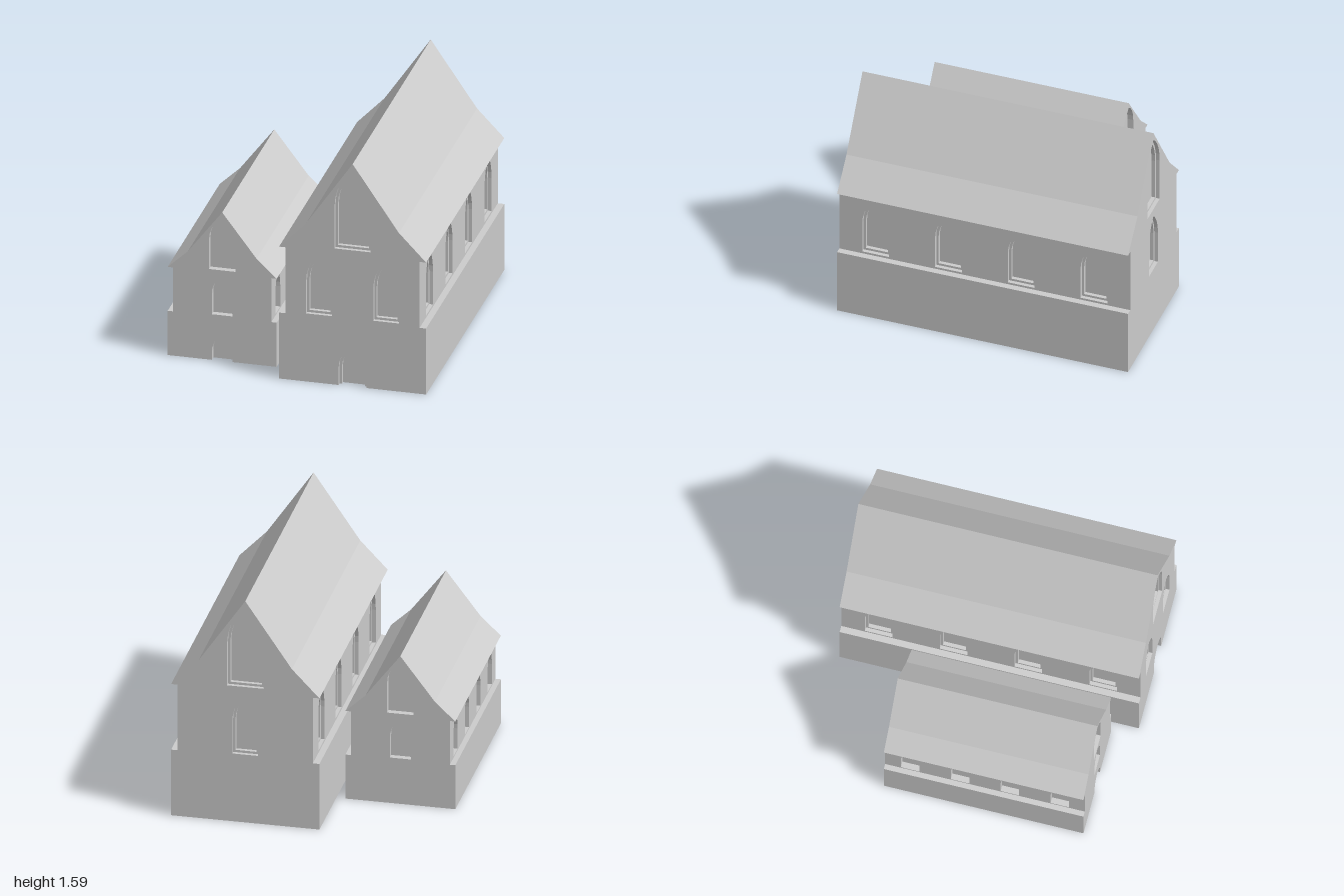
import * as THREE from 'three';

const material = new THREE.MeshStandardMaterial({ color: 0xcccccc, flatShading: true });
const vec = (p) => new THREE.Vector2(p[0], p[1]);

function add(group, name, geometry) {
  const mesh = new THREE.Mesh(geometry, material);
  mesh.name = name;
  group.add(mesh);
  return mesh;
}

// Strip of quads joining two polylines of equal length, each at its own z
function loft(a, za, b, zb) {
  const pos = [];
  for (let i = 0; i + 1 < a.length; i++) {
    const p = [...a[i], za], q = [...a[i + 1], za], r = [...b[i + 1], zb], s = [...b[i], zb];
    pos.push(...p, ...q, ...r, ...p, ...r, ...s);
  }
  const g = new THREE.BufferGeometry();
  g.setAttribute('position', new THREE.Float32BufferAttribute(pos, 3));
  g.computeVertexNormals();
  return g;
}

function flat(outline, holes = []) {
  const shape = new THREE.Shape(outline.map(vec));
  for (const h of holes) shape.holes.push(new THREE.Path(h.map(vec)));
  return new THREE.ShapeGeometry(shape);
}

// Pointed arch outline, counter-clockwise from the bottom right to the bottom left
function arch({ u = 0, w, y, spring, apex }) {
  const h = apex - spring, c = (h * h - w * w) / (2 * w), end = Math.atan2(h, c), n = 5;
  const right = [[w, y]];
  for (let i = 0; i < n; i++) {
    const t = (end * i) / n;
    right.push([(w + c) * Math.cos(t) - c, spring + (w + c) * Math.sin(t)]);
  }
  const left = right.map(([x, v]) => [-x, v]).reverse();
  return [...right, [0, apex], ...left].map(([x, v]) => [x + u, v]);
}

// Recessed opening: reveal, optional inner step, and back pane
function addOpening(group, name, o, step, depth) {
  const isDoor = o.y === 0;
  const close = (pts) => (isDoor ? pts : [...pts, pts[0]]);
  const outer = arch(o);
  let inner = outer;
  if (step) {
    inner = arch({ ...o, w: o.w - step, y: isDoor ? 0 : o.y + step, apex: o.apex - step * 1.6 });
    const mid = -depth / 2;
    add(group, name + 'OuterReveal', loft(close(outer), 0, close(outer), mid));
    add(group, name + 'Step', loft(close(outer), mid, close(inner), mid));
    add(group, name + 'InnerReveal', loft(close(inner), mid, close(inner), -depth));
  } else {
    add(group, name + 'Reveal', loft(close(outer), 0, close(outer), -depth));
  }
  add(group, name + 'Pane', flat(inner)).position.z = -depth;
}

function makeHouse(name, s) {
  const house = new THREE.Group();
  house.name = name;
  const { hw, wall, ledge, eave, kink, apex, half: L, step, depth } = s;
  const mirror = (pts) => pts.map(([x, y]) => [-x, y]).reverse();

  // Plinth with its ledge, and the roof with its eave undersides
  const plinth = [[hw, 0], [hw, ledge], [wall, ledge]];
  const slope = [[wall, eave], [hw, eave], kink, [0, apex]];
  const roof = [...slope, ...mirror(slope).slice(1)];
  add(house, 'plinthLeft', loft(plinth, -L, plinth, L));
  add(house, 'plinthRight', loft(mirror(plinth), -L, mirror(plinth), L));
  add(house, 'roof', loft(roof, -L, roof, L));

  // Gable walls; the front one has a doorway cut in its lower edge
  const sides = [...plinth, ...roof, ...mirror(plinth)];
  const doorway = arch(s.door).reverse();
  const gables = [
    ['front', s.frontWindows, [...doorway, ...sides], 0],
    ['back', s.backWindows, sides, Math.PI],
  ];
  for (const [label, windows, outline, turn] of gables) {
    const gable = new THREE.Group();
    gable.name = label + 'Gable';
    gable.rotation.y = turn;
    gable.position.z = L * Math.cos(turn);
    add(gable, label + 'Wall', flat(outline, windows.map(arch)));
    windows.forEach((o, i) => addOpening(gable, label + 'Window' + (i + 1), o, step, depth));
    if (label === 'front') addOpening(gable, 'door', s.door, step, depth);
    house.add(gable);
  }

  // Upper side walls, each with four evenly spaced windows
  for (const side of [1, -1]) {
    const g = new THREE.Group();
    g.name = side > 0 ? 'leftWall' : 'rightWall';
    g.rotation.y = (side * Math.PI) / 2;
    g.position.x = side * wall;
    const windows = [-0.75, -0.25, 0.25, 0.75].map((f) => ({ ...s.sideWindow, u: f * L }));
    const outline = [[-L, ledge], [L, ledge], [L, eave], [-L, eave]];
    add(g, 'upperWall', flat(outline, windows.map(arch)));
    windows.forEach((o, i) => addOpening(g, 'sideWindow' + (i + 1), o, step, depth));
    house.add(g);
  }

  // Underside, notched at the door
  const dw = s.door.w, iw = dw - step, mid = L - depth / 2;
  const floor = [
    [-hw, -L], [hw, -L], [hw, L], [dw, L], [dw, mid], [iw, mid], [iw, L - depth],
    [-iw, L - depth], [-iw, mid], [-dw, mid], [-dw, L], [-hw, L],
  ];
  add(house, 'underside', flat(floor)).rotation.x = Math.PI / 2;
  return house;
}

export function createModel() {
  const model = new THREE.Group();
  model.name = 'gabledHouses';

  // Large hall
  const window = { w: 0.086, y: 0.485, spring: 0.72, apex: 0.915 };
  const gableWindow = { w: 0.12, y: 0.97, spring: 1.28, apex: 1.53 };
  const large = makeHouse('largeHouse', {
    hw: 0.4925, wall: 0.449, ledge: 0.47, eave: 0.94, kink: [0.31, 1.13], apex: 1.585,
    half: 1, step: 0.016, depth: 0.05,
    door: { w: 0.093, y: 0, spring: 0.13, apex: 0.273 },
    frontWindows: [{ ...window, u: -0.225 }, { ...window, u: 0.225 }, gableWindow],
    backWindows: [window, gableWindow],
    sideWindow: { ...window, w: 0.092 },
  });
  large.position.x = 0.3925;

  // Small hall
  const middle = { w: 0.07, y: 0.325, spring: 0.47, apex: 0.61 };
  const upper = { w: 0.088, y: 0.645, spring: 0.86, apex: 1.02 };
  const small = makeHouse('smallHouse', {
    hw: 0.365, wall: 0.329, ledge: 0.315, eave: 0.628, kink: [0.23, 0.755], apex: 1.058,
    half: 0.667, step: 0, depth: 0.04,
    door: { w: 0.07, y: 0, spring: 0.06, apex: 0.182 },
    frontWindows: [middle, upper],
    backWindows: [middle, upper],
    sideWindow: { ...middle, w: 0.062 },
  });
  small.position.set(-0.525, 0, 0.163);

  model.add(large, small);
  return model;
}
